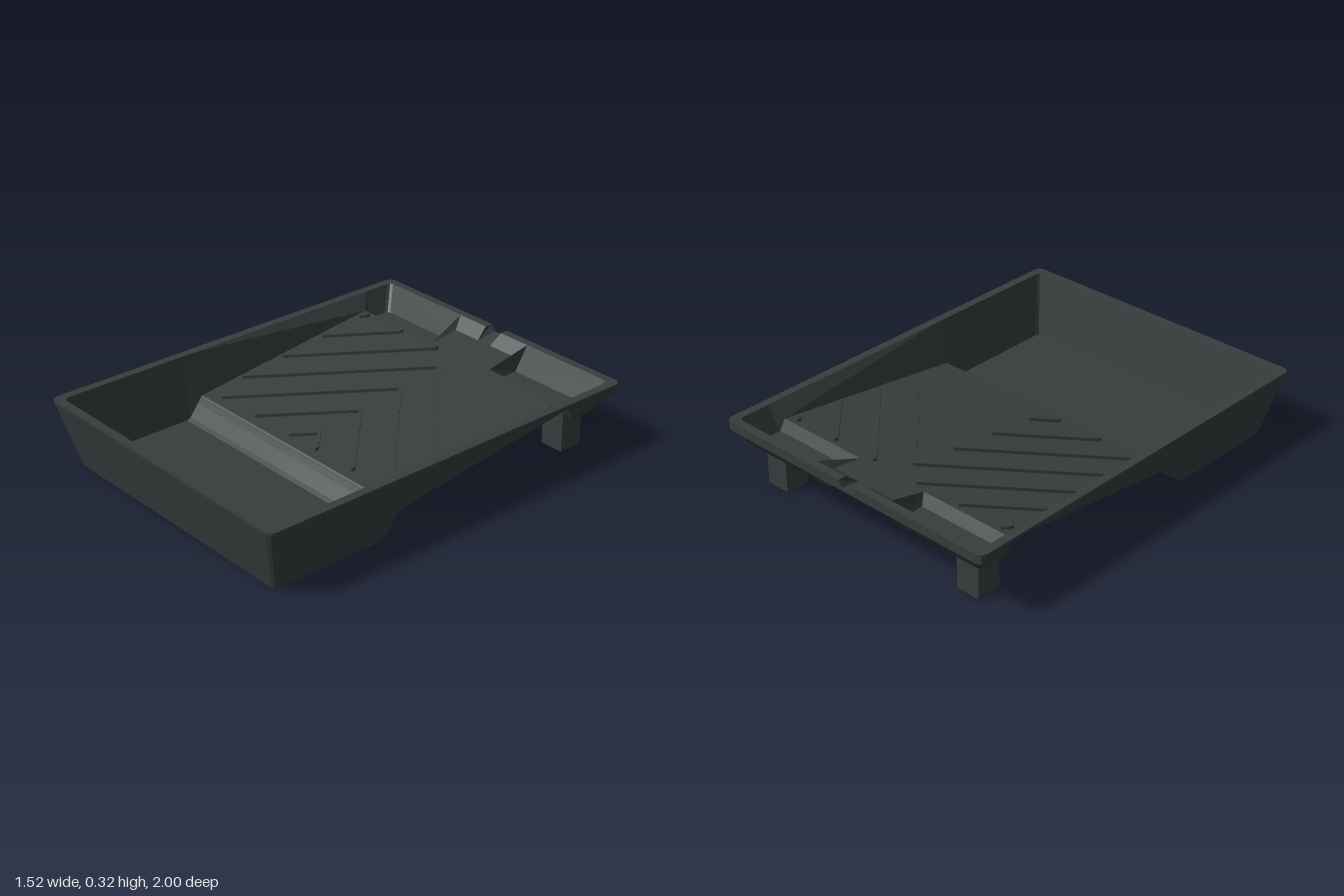
import * as THREE from 'three';

const RIM_Y = 0.32;

// Collects flat polygons, mirrored across x, each turned towards a given direction
function shell(name, material, build) {
  const pos = [];
  const tri = (pts, dir) => {
    const [a, b, c] = pts.map((p) => new THREE.Vector3(...p));
    const n = b.clone().sub(a).cross(c.clone().sub(a));
    if (n.lengthSq() < 1e-14) return;
    const t = n.dot(new THREE.Vector3(...dir)) < 0 ? [a, c, b] : [a, b, c];
    t.forEach((v) => pos.push(v.x, v.y, v.z));
    t.reverse().forEach((v) => pos.push(-v.x, v.y, v.z));
  };
  build((pts, dir) => {
    for (let i = 1; i < pts.length - 1; i++) tri([pts[0], pts[i], pts[i + 1]], dir);
  });
  const geo = new THREE.BufferGeometry();
  geo.setAttribute('position', new THREE.Float32BufferAttribute(pos, 3));
  geo.computeVertexNormals();
  const mesh = new THREE.Mesh(geo, material);
  mesh.name = name;
  return mesh;
}

// Half outlines, front centre round to the back: top x, top z, floor x, floor y, floor z
const OUTER = [
  [0, 1, 0, 0, 0.92], [0.73, 1, 0.66, 0, 0.92], [0.751, 0.991, 0.674, 0, 0.914],
  [0.76, 0.97, 0.68, 0, 0.9], [0.76, 0.37, 0.68, 0, 0.36], [0.76, 0.33, 0.68, 0.015, 0.325],
  [0.76, 0.26, 0.68, 0.11, 0.26], [0.76, -0.83, 0.68, 0.24, -0.75], [0.76, -0.83, 0.68, 0.18, -0.78],
  [0.76, -0.97, 0.68, 0.18, -0.9], [0.751, -0.991, 0.674, 0.18, -0.914],
  [0.73, -1, 0.66, 0.18, -0.92], [0.22, -1, 0.2, 0.18, -0.92],
];
const INNER = [
  [0, 0.96, 0, 0.02, 0.9], [0.7, 0.96, 0.65, 0.02, 0.9], [0.714, 0.954, 0.664, 0.02, 0.894],
  [0.72, 0.94, 0.67, 0.02, 0.88], [0.72, 0.35, 0.67, 0.02, 0.34], [0.72, 0.32, 0.67, 0.03, 0.32],
  [0.72, 0.25, 0.67, 0.12, 0.25], [0.72, -0.8, 0.67, 0.25, -0.75], [0.72, -0.8, 0.67, 0.2, -0.78],
  [0.72, -0.94, 0.67, 0.2, -0.88], [0.714, -0.954, 0.664, 0.2, -0.894],
  [0.7, -0.96, 0.65, 0.2, -0.9], [0.22, -0.96, 0.21, 0.2, -0.9],
];
const top = (r, drop = 0) => [r[0], RIM_Y - drop, r[1]];
const low = (r) => [r[2], r[3], r[4]];
const lip = (i) => (i > 9 ? 0.045 : 0.012);

// Walls, well floor, ramp and the two back pockets for one skin of the tray
function skin(poly, rows, sign, drop, pocketX) {
  const floorDir = [0, sign, 0];
  for (let i = 0; i < rows.length - 1; i++) {
    const [a, b] = [rows[i], rows[i + 1]];
    const out = [-sign * (a[0] + b[0]), 0, -sign * (a[1] + b[1])];
    poly([top(a, drop(i)), low(a), low(b), top(b, drop(i + 1))], out);
  }
  const f = rows.map(low);
  const mid = (p) => [0, p[1], p[2]];
  poly([...f.slice(0, 5), mid(f[4])], floorDir);
  for (let i = 4; i < 7; i++) poly([mid(f[i]), f[i], f[i + 1], mid(f[i + 1])], floorDir);
  const pocketFront = [f[12][0], f[8][1], f[8][2]];
  poly([pocketFront, ...f.slice(8)], floorDir);
  poly([[pocketX, f[7][1], f[7][2]], f[7], f[8], pocketFront], [0, sign, -1]);
  return pocketFront;
}

// Height of the ramp surface
const rampY = (z) => 0.25 - 0.13 * (z + 0.75);

// V-shaped grip ridges: boxes sheared onto the ramp, clipped to its edges
function makeRidges(material) {
  const ridges = new THREE.Group();
  ridges.name = 'gripRidges';
  for (let i = 0; i < 7; i++) {
    const apex = 0.11 - i * 0.24;
    const x0 = Math.max(0, -0.72 - apex);
    const x1 = Math.min(0.635, 0.2 - apex);
    for (const side of [1, -1]) {
      const geo = new THREE.BoxGeometry(x1 - x0, 0.03, 0.022);
      geo.translate((side * (x0 + x1)) / 2, 0, 0);
      const p = geo.attributes.position;
      for (let k = 0; k < p.count; k++) {
        const z = apex + Math.abs(p.getX(k)) + p.getZ(k);
        p.setXYZ(k, p.getX(k), rampY(z) + p.getY(k), z);
      }
      const flat = geo.toNonIndexed();
      flat.computeVertexNormals();
      const mesh = new THREE.Mesh(flat, material);
      mesh.name = 'gripRidge';
      ridges.add(mesh);
    }
  }
  return ridges;
}

export function createModel() {
  const plastic = new THREE.MeshStandardMaterial({ color: 0x363e3d, side: THREE.DoubleSide });
  plastic.name = 'charcoalPlastic';
  const tray = new THREE.Group();
  tray.name = 'paintTray';

  // Outside skin with the raised centre underside between the pockets
  tray.add(shell('outerShell', plastic, (poly) => {
    const pf = skin(poly, OUTER, -1, lip, 0.18);
    const a = [0.18, 0.24, -0.75], b = [0.18, 0.255, -0.92], c = [0.22, 0.275, -1];
    poly([[0, 0.24, -0.75], a, b, [0, 0.255, -0.92]], [0, -1, 0]);
    poly([[0, 0.255, -0.92], b, c, [0, 0.275, -1]], [0, -1, 0]);
    poly([a, b, c, low(OUTER[12]), pf], [-1, 0, 0]);
  }));

  // Inside skin with the centre ledge and the low back wall
  tray.add(shell('innerBasin', plastic, (poly) => {
    const pf = skin(poly, INNER, 1, () => 0, 0.19);
    const a = [0.19, 0.25, -0.75], b = [0.19, 0.27, -0.9], c = [0.22, RIM_Y, -0.96];
    poly([[0, 0.25, -0.75], a, b, [0, 0.27, -0.9]], [0, 1, 0]);
    poly([a, b, c, low(INNER[12]), pf], [1, 0, 0]);
    poly([b, [0.04, 0.27, -0.9], [0.05, RIM_Y, -0.96], c], [0, 0, 1]);
  }));

  // Flat rim with its vertical lip
  tray.add(shell('rim', plastic, (poly) => {
    for (let i = 0; i < OUTER.length - 1; i++) {
      const [a, b] = [OUTER[i], OUTER[i + 1]];
      poly([top(a), top(b), top(INNER[i + 1]), top(INNER[i])], [0, 1, 0]);
    }
    poly([[0.22, RIM_Y, -0.96], [0.22, RIM_Y, -1], [0.05, RIM_Y, -1], [0.05, RIM_Y, -0.96]], [0, 1, 0]);
    for (let i = 0; i < OUTER.length - 1; i++) {
      const [a, b] = [OUTER[i], OUTER[i + 1]];
      poly([top(a), top(a, lip(i)), top(b, lip(i + 1)), top(b)], [a[0] + b[0], 0, a[1] + b[1]]);
    }
  }));

  // Pouring notch in the middle of the back rim
  tray.add(shell('pouringNotch', plastic, (poly) => {
    poly([[0, 0.27, -0.9], [0.04, 0.27, -0.9], [0.03, 0.29, -1], [0, 0.29, -1]], [0, 1, 0]);
    poly([[0.04, 0.27, -0.9], [0.05, RIM_Y, -0.96], [0.05, RIM_Y, -1], [0.03, 0.29, -1]], [-1, 0, 0]);
    poly([[0, 0.275, -1], [0, 0.29, -1], [0.03, 0.29, -1], [0.03, 0.275, -1]], [0, 0, -1]);
    poly([[0.03, 0.275, -1], [0.03, 0.29, -1], [0.05, RIM_Y, -1], [0.22, RIM_Y, -1], [0.22, 0.275, -1]], [0, 0, -1]);
  }));

  tray.add(makeRidges(plastic));

  // Back legs under the pockets
  for (const side of [1, -1]) {
    const leg = new THREE.Mesh(new THREE.BoxGeometry(0.12, 0.19, 0.12), plastic);
    leg.position.set(side * 0.575, 0.095, -0.83);
    leg.name = side > 0 ? 'leftBackLeg' : 'rightBackLeg';
    tray.add(leg);
  }
  return tray;
}
